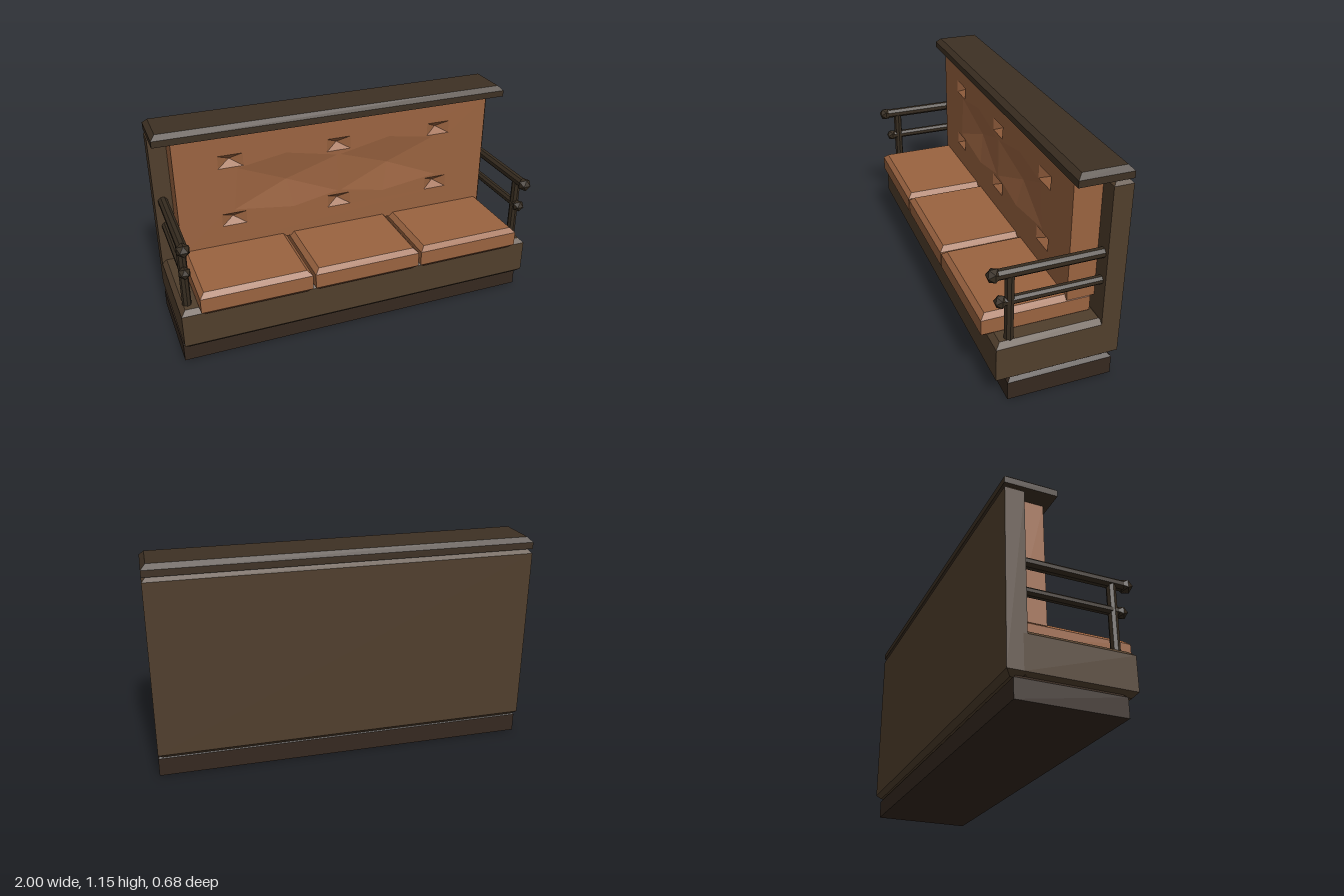
import * as THREE from 'three';

const mat = (color, side = THREE.FrontSide) =>
  new THREE.MeshStandardMaterial({ color, flatShading: true, side });
const wood = mat(0x503e2c);
const capWood = mat(0x3d3023);
const plinthWood = mat(0x35281f);
const railWood = mat(0x352b1f);
const leather = mat(0x9a6340);

function add(parent, name, geometry, material, x = 0, y = 0, z = 0) {
  const mesh = new THREE.Mesh(geometry, material);
  mesh.name = name;
  mesh.position.set(x, y, z);
  parent.add(mesh);
  return mesh;
}

// Box whose top (and optionally bottom) edges are cut at 45 degrees
function bevelBox([x0, x1], [y0, y1], [z0, z1], c, bottom = true) {
  const w = x1 - x0, h = y1 - y0, d = z1 - z0;
  const levels = bottom ? [0, c, h - c, h] : [0, h - c, h];
  const n = levels.length - 1;
  const g = new THREE.BoxGeometry(w, h, d, 1, n, 1);
  const p = g.attributes.position;
  for (let i = 0; i < p.count; i++) {
    const row = Math.round((p.getY(i) / h + 0.5) * n);
    const inset = row === n || (bottom && row === 0) ? c : 0;
    p.setXYZ(i,
      (x0 + x1) / 2 + Math.sign(p.getX(i)) * (w / 2 - inset),
      y0 + levels[row],
      (z0 + z1) / 2 + Math.sign(p.getZ(i)) * (d / 2 - inset));
  }
  g.computeVertexNormals();
  return g;
}

// Sunken facets running from a counter-clockwise outline to one deep point
function sunkenFan(outline, cx, cy, depth) {
  const v = [];
  outline.forEach(([x, y], i) => {
    const [nx, ny] = outline[(i + 1) % outline.length];
    v.push(x, y, 0, nx, ny, 0, cx, cy, -depth);
  });
  const g = new THREE.BufferGeometry();
  g.setAttribute('position', new THREE.Float32BufferAttribute(v, 3));
  g.computeVertexNormals();
  return g;
}

// Upholstered back: open-fronted box closed by a tufted face
function backCushion() {
  const group = new THREE.Group();
  group.name = 'backCushion';
  const w = 1.81, y0 = 0.43, y1 = 1.09, front = -0.095, d = 0.155;

  const box = new THREE.BoxGeometry(w, y1 - y0, d);
  const idx = Array.from(box.index.array);
  idx.splice(24, 6);
  box.setIndex(idx);
  add(group, 'backCushionBody', box, leather, 0, (y0 + y1) / 2, front - d / 2);

  const face = new THREE.Shape([[-w / 2, y0], [w / 2, y0], [w / 2, y1], [-w / 2, y1]]
    .map(([x, y]) => new THREE.Vector2(x, y)));
  const sink = (name, outline, cx, cy, depth) => {
    face.holes.push(new THREE.Path(outline.map(([x, y]) => new THREE.Vector2(x, y))));
    add(group, name, sunkenFan(outline, cx, cy, depth), leather, 0, 0, front);
  };
  // Button pits
  for (const x of [-0.605, 0, 0.605])
    for (const y of [0.6, 0.942])
      sink('buttonPit', [[x - 0.068, y - 0.036], [x + 0.068, y - 0.036],
        [x + 0.068, y + 0.036], [x - 0.068, y + 0.036]], x, y, 0.04);
  // Shallow hollows between the buttons
  for (const s of [1, -1]) {
    const outline = [[0.01, 0.66], [0.27, 0.61], [0.6, 0.655], [0.57, 0.895], [0.3, 0.94], [0.01, 0.88]]
      .map(([x, y]) => [s * x, y]);
    if (s < 0) outline.reverse();
    sink('backHollow', outline, s * 0.3, 0.775, 0.025);
  }
  add(group, 'backCushionFace', new THREE.ShapeGeometry(face), leather, 0, 0, front);
  return group;
}

// Arm rail: a post, two bars and their faceted end knobs
function armRail(x, name) {
  const group = new THREE.Group();
  group.name = name;
  group.position.x = x;
  add(group, 'armPost', new THREE.CylinderGeometry(0.024, 0.024, 0.37, 8), railWood, 0, 0.515, 0.222);
  for (const [y, r, end, knob] of [[0.702, 0.027, 0.3, 0.038], [0.551, 0.023, 0.265, 0.034]]) {
    const length = end + 0.25;
    const bar = new THREE.CylinderGeometry(r, r, length, 8).rotateY(Math.PI / 8).rotateX(Math.PI / 2);
    add(group, 'armBar', bar, railWood, 0, y, end - length / 2);
    add(group, 'armKnob', new THREE.IcosahedronGeometry(knob, 0).rotateY(Math.PI / 2), railWood, 0, y, end);
  }
  return group;
}

export function createModel() {
  const model = new THREE.Group();
  model.name = 'bench';
  const full = [-1, 1];

  // Wooden frame
  add(model, 'plinth', bevelBox(full, [0, 0.12], [-0.31, 0.24], 0.02, false), plinthWood);
  add(model, 'seatBase', bevelBox(full, [0.11, 0.34], [-0.26, 0.3], 0.025), wood);
  add(model, 'backPanel', bevelBox(full, [0.11, 1.09], [-0.34, -0.24], 0.025), wood);
  add(model, 'topBoard', bevelBox(full, [1.09, 1.15], [-0.34, -0.065], 0.025, false), capWood);

  // Upholstery
  model.add(backCushion());
  for (const span of [[-0.905, -0.312], [-0.297, 0.297], [0.312, 0.905]])
    add(model, 'seatCushion', bevelBox(span, [0.32, 0.45], [-0.22, 0.34], 0.025), leather);

  // Arm rails
  model.add(armRail(0.955, 'leftArmRail'), armRail(-0.955, 'rightArmRail'));
  return model;
}
